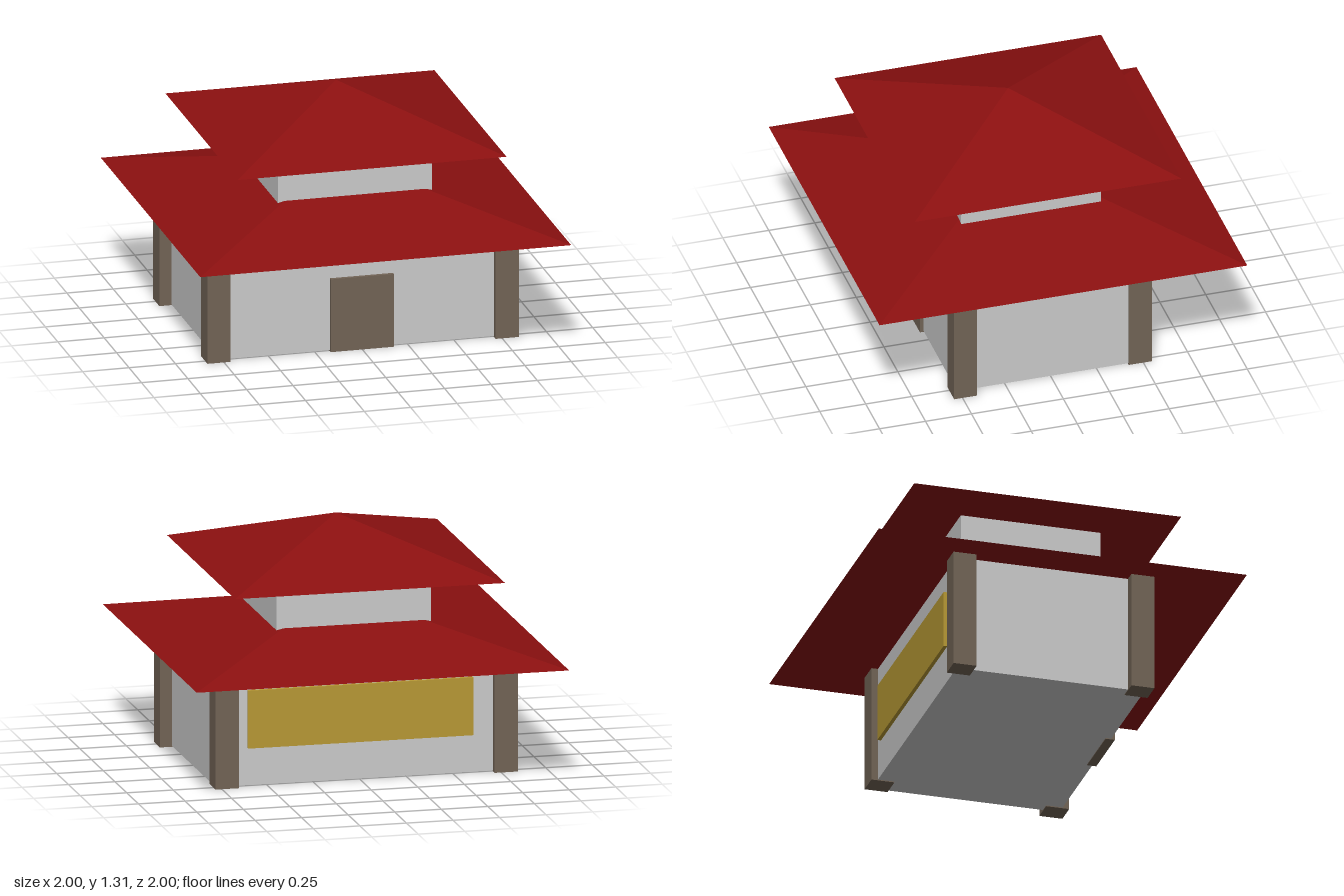
import * as THREE from 'three';

const material = (color) => new THREE.MeshStandardMaterial({ color, flatShading: true });

export function createModel() {
  const model = new THREE.Group();
  model.name = 'house';
  const plaster = material(0xcccccc);
  const timber = material(0x726456);
  const tile = material(0x8b1010);
  const gold = material(0xb89935);

  const add = (name, geometry, mat) => {
    const mesh = new THREE.Mesh(geometry, mat);
    mesh.name = name;
    model.add(mesh);
    return mesh;
  };

  // Box resting on y0, centred on x and z
  const box = (name, mat, [w, h, d], [x, y0, z]) =>
    add(name, new THREE.BoxGeometry(w, h, d), mat).position.set(x, y0 + h / 2, z);

  // Square pyramid with a closed underside
  const roof = (name, half, h, y0) => {
    const geometry = new THREE.ConeGeometry(half * Math.SQRT2, h, 4);
    geometry.rotateY(Math.PI / 4);
    add(name, geometry, tile).position.y = y0 + h / 2;
  };

  // Storeys
  box('lowerWalls', plaster, [1.55, 0.635, 1.02], [0, 0.005, 0]);
  box('upperWalls', plaster, [0.83, 0.36, 0.76], [0, 0.7, 0]);

  // Roofs
  roof('lowerRoof', 1, 0.26, 0.64);
  roof('upperRoof', 0.725, 0.25, 1.06);

  // Corner posts; the back left one stands slightly inward
  for (const [name, x, z] of [
    ['frontLeftPost', 0.777, 0.483],
    ['frontRightPost', -0.777, 0.483],
    ['backLeftPost', 0.722, -0.483],
    ['backRightPost', -0.777, -0.483],
  ]) box(name, timber, [0.125, 0.64, 0.125], [x, 0, z]);

  // Door on the front, wide window on the back
  box('door', timber, [0.34, 0.4, 0.05], [0, 0, 0.505]);
  box('backWindow', gold, [1.21, 0.31, 0.05], [0, 0.205, -0.505]);

  return model;
}
